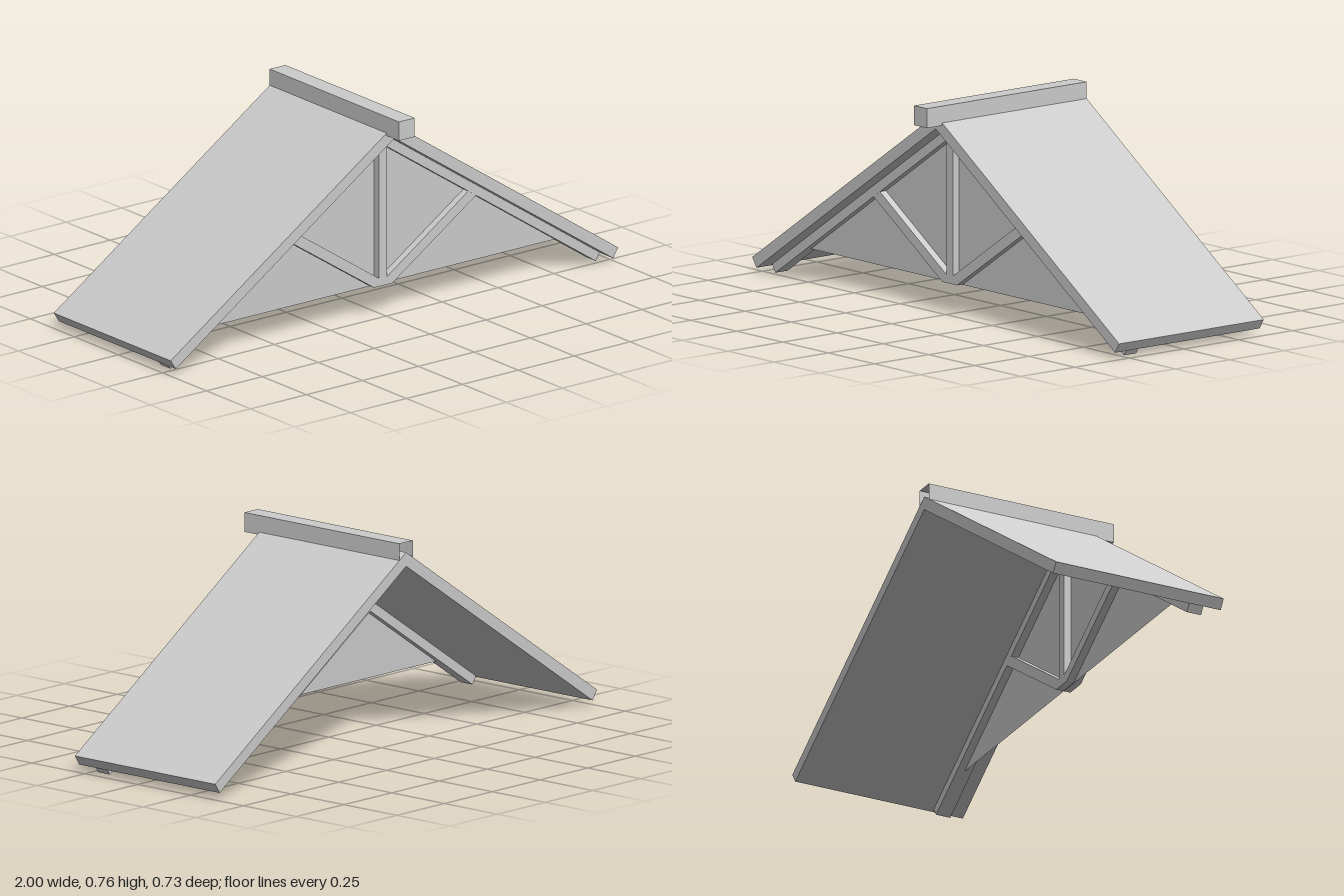
import * as THREE from 'three';

const material = new THREE.MeshStandardMaterial({ color: 0xcccccc, flatShading: true });
const openMaterial = new THREE.MeshStandardMaterial({ color: 0xcccccc, flatShading: true, side: THREE.DoubleSide });

// Depth range shared by the truss timbers
const TRUSS_BACK = 0.177, TRUSS_FRONT = 0.233;

export function createModel() {
  const model = new THREE.Group();
  model.name = 'gableRoof';

  const add = (name, geometry, mat = material) => {
    const mesh = new THREE.Mesh(geometry, mat);
    mesh.name = name;
    model.add(mesh);
    return mesh;
  };

  // Extrudes an outline given for the +x side, mirrored when side is -1
  const timber = (name, points, side, back, front) => {
    const shape = new THREE.Shape(points.map(([x, y]) => new THREE.Vector2(x * side, y)));
    const geometry = new THREE.ExtrudeGeometry(shape, { depth: front - back, bevelEnabled: false });
    geometry.translate(0, 0, back);
    return add(name, geometry);
  };

  for (const [side, label] of [[1, 'left'], [-1, 'right']]) {
    // Sloping roof slab, mitred at the ridge
    timber(label + 'RoofSlab', [[0, 0.673], [0.977, 0.023], [1, 0.058], [0, 0.723]], side, -0.367, 0.297);
    // Rafter under the slab
    timber(label + 'Rafter', [[0, 0.633], [0.95, 0.001], [0.968, 0.029], [0, 0.673]], side, TRUSS_BACK, TRUSS_FRONT);
    // Diagonal strut from the post foot to the rafter
    timber(label + 'Strut', [[0.018, 0.11], [0.04, 0.11], [0.415, 0.357], [0.38, 0.38], [0.018, 0.14]],
      side, TRUSS_BACK, TRUSS_FRONT);
  }

  // Upright post in the middle of the truss
  timber('kingPost', [[-0.018, 0.11], [0.018, 0.11], [0.018, 0.621], [0, 0.633], [-0.018, 0.621]],
    1, TRUSS_BACK, TRUSS_FRONT);

  // Thin gable panel in the middle of the truss depth
  const panel = new THREE.ShapeGeometry(new THREE.Shape([
    new THREE.Vector2(-0.79, 0.108), new THREE.Vector2(0.79, 0.108), new THREE.Vector2(0, 0.633),
  ]));
  panel.translate(0, 0, (TRUSS_BACK + TRUSS_FRONT) / 2);
  add('gablePanel', panel, openMaterial);

  // Ridge beam, hollow with an open back end (the last box face is dropped)
  const ridge = new THREE.BoxGeometry(0.07, 0.07, 0.734);
  ridge.setIndex(Array.from(ridge.index.array).slice(0, 30));
  ridge.clearGroups();
  add('ridgeBeam', ridge, openMaterial).position.set(0, 0.725, 0);

  return model;
}
